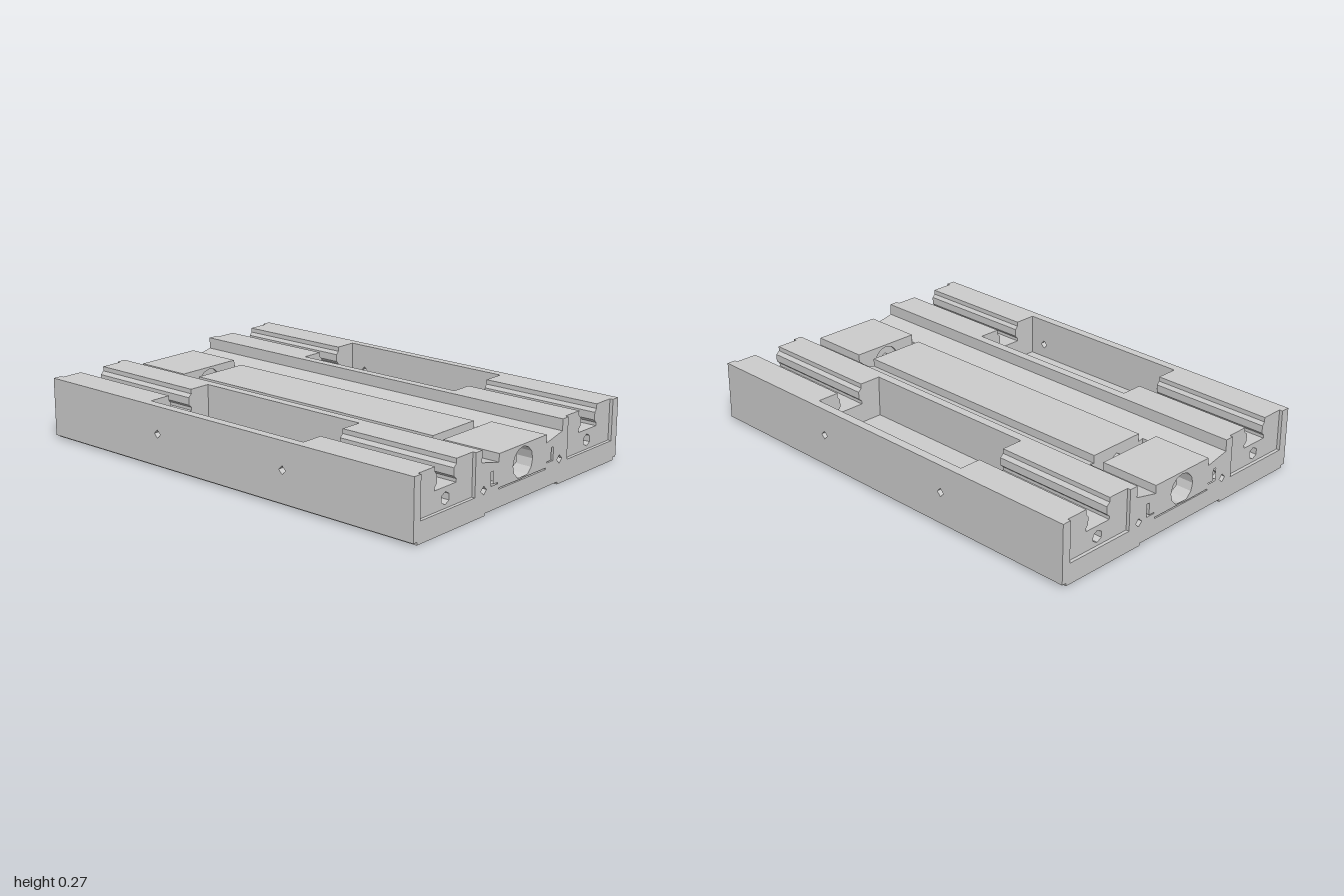
import * as THREE from 'three';

const mat = new THREE.MeshStandardMaterial({ color: 0xcccccc, flatShading: true });

const polygon = (pts) => pts.map(([x, y]) => new THREE.Vector2(x, y));

// Regular polygon outline used for every drilled hole
function ngon(x, y, r, n, turn = Math.PI / 2) {
  return Array.from({ length: n }, (_, i) => {
    const a = turn + (i * 2 * Math.PI) / n;
    return [x + r * Math.cos(a), y + r * Math.sin(a)];
  });
}

function extrude(pts, holes, depth) {
  const shape = new THREE.Shape(polygon(pts));
  holes.forEach((h) => shape.holes.push(new THREE.Path(polygon(h))));
  return new THREE.ExtrudeGeometry(shape, { depth, bevelEnabled: false });
}

const rect = (x0, y0, x1, y1) => [[x0, y0], [x1, y0], [x1, y1], [x0, y1]];
const flip = (pts, s) => pts.map(([x, y]) => [x * s, y]);

export function createModel() {
  const model = new THREE.Group();
  model.name = 'linearSlideBase';

  const add = (name, geometry) => {
    const mesh = new THREE.Mesh(geometry, mat);
    mesh.name = name;
    model.add(mesh);
    return mesh;
  };
  // Extrudes a front profile (x, y) between two z positions
  const alongZ = (name, pts, holes, z0, z1) =>
    add(name, extrude(pts, holes, z1 - z0).translate(0, 0, z0));

  // Centre body with a middle channel and sloping shoulders
  const half = [[0.16, 0.085], [0.16, 0.195], [0.27, 0.22], [0.27, 0.27],
    [0.31, 0.27], [0.31, 0], [0.245, 0], [0.245, 0.01]];
  const centre = [...half, ...flip(half, -1).reverse()];
  const slit = [[0.165, 0.11], [0.21, 0.11], [0.21, 0.168], [0.195, 0.168],
    [0.195, 0.115], [0.165, 0.115]];
  const endHoles = [1, -1].flatMap((s) => [ngon(s * 0.255, 0.105, 0.018, 4), flip(slit, s)]);
  alongZ('centreBody', centre, [], -0.95, 0.95);

  // Raised cover between the two bearing gaps
  const cover = [[-0.16, 0.085], [0.16, 0.085], [0.16, 0.195], [0.135, 0.19],
    [0.135, 0.225], [-0.135, 0.225], [-0.135, 0.19], [-0.16, 0.195]];
  alongZ('centreCover', cover, [], -0.66, 0.66);

  // Drive shaft
  add('driveShaft', new THREE.CylinderGeometry(0.032, 0.032, 1.9, 6)
    .rotateX(Math.PI / 2).translate(0, 0.155, 0));

  for (const e of [1, -1]) {
    const span = (a, b) => (e > 0 ? [a, b] : [-b, -a]);

    // Drilled and slotted end of the centre body
    alongZ('centreBodyEnd', centre, endHoles, ...span(0.95, 1));

    // End block with bore and bearing
    alongZ('bearingBlock', rect(-0.16, 0.091, 0.16, 0.23),
      [ngon(0, 0.155, 0.066, 12)], ...span(0.73, 1));
    add('bearing', new THREE.CylinderGeometry(0.067, 0.067, 0.17, 12)
      .rotateX(Math.PI / 2).translate(0, 0.155, e * 0.825));
  }

  for (const s of [1, -1]) {
    // Side wall with two cross holes
    const wall = extrude(rect(-1, 0.012, 1, 0.27),
      [ngon(0.35, 0.15, 0.018, 4), ngon(-0.35, 0.15, 0.018, 4)], 0.04);
    add('sideWall', wall.rotateY(Math.PI / 2).translate(s > 0 ? 0.64 : -0.68, 0, 0));
    add('footEdge', new THREE.BoxGeometry(0.02, 0.012, 2).translate(s * 0.65, 0.006, 0));

    // Channel floor with through holes and screw holes
    const holes = [];
    for (const e of [1, -1]) {
      holes.push(ngon(s * 0.45, e * 0.18, 0.028, 4));
      for (const z of [0.58, 0.91]) holes.push(ngon(s * 0.45, e * z, 0.03, 6));
      for (const x of [0.35, 0.58])
        for (const z of [0.61, 0.84]) holes.push(ngon(s * x, e * z, 0.018, 6));
    }
    add('channelFloor', extrude(rect(s * 0.31, -1, s * 0.64, 1), holes, 0.09)
      .rotateX(-Math.PI / 2));

    // Slotted rail inserts, one at each end of the channel
    const rail = flip([[0.31, 0.09], [0.64, 0.09], [0.64, 0.27],
      [0.54, 0.27], [0.54, 0.25], [0.528, 0.236], [0.528, 0.203], [0.54, 0.19], [0.54, 0.176],
      [0.41, 0.176], [0.41, 0.19], [0.425, 0.203], [0.425, 0.236], [0.41, 0.25], [0.41, 0.27],
      [0.31, 0.27]], s);
    const screwHole = ngon(s * 0.475, 0.13, 0.026, 6);
    for (const e of [1, -1]) {
      const span = (a, b) => (e > 0 ? [a, b] : [-b, -a]);
      alongZ('railInsert', rail, [], ...span(0.425, 0.94));
      alongZ('railInsertEnd', rail, [screwHole], ...span(0.94, 0.985));
    }
  }
  return model;
}
